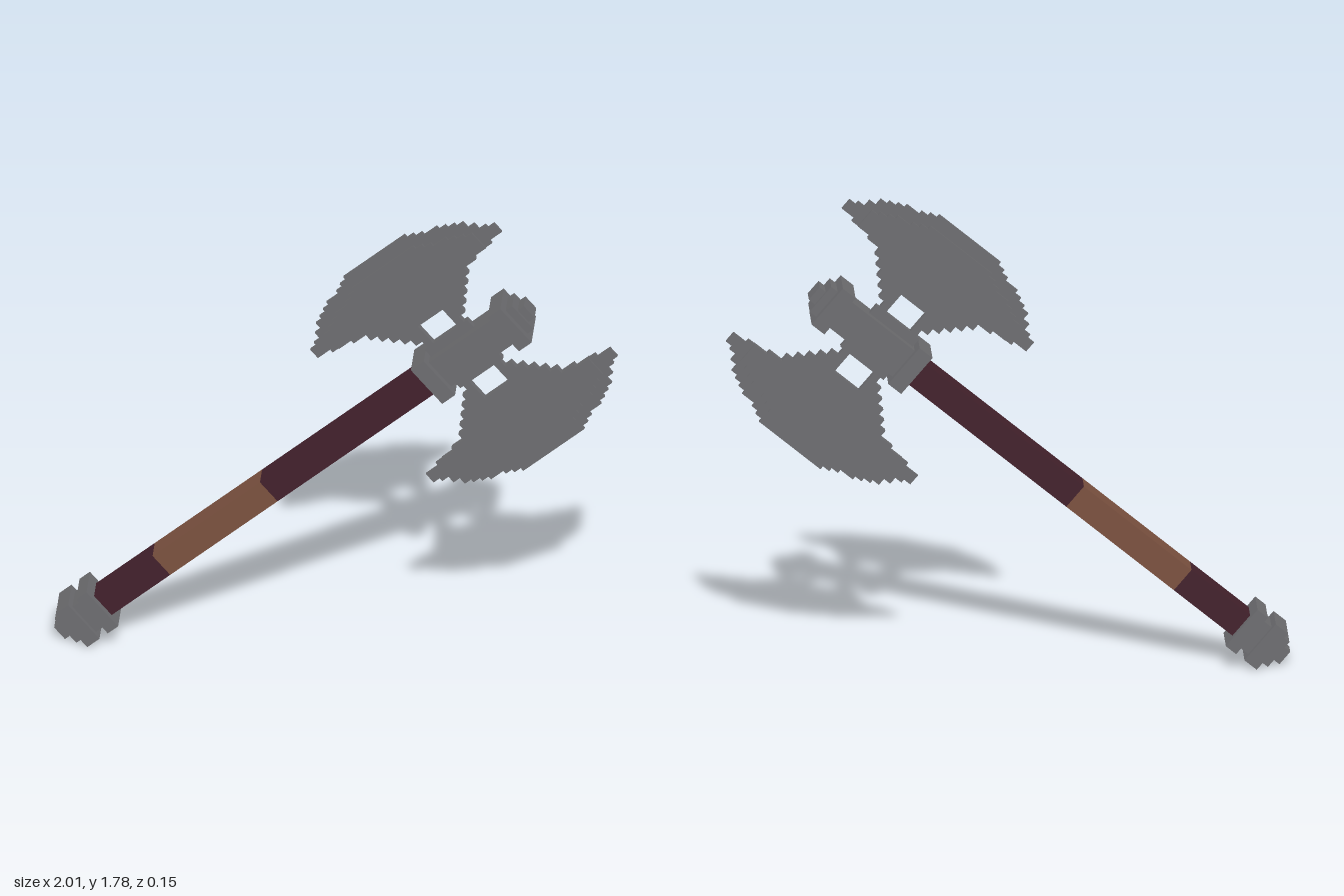
import * as THREE from 'three';

const steel = new THREE.MeshStandardMaterial({ color: 0x6e6e71 });
steel.name = 'steel';
const darkWood = new THREE.MeshStandardMaterial({ color: 0x43212c });
darkWood.name = 'darkWood';
const leather = new THREE.MeshStandardMaterial({ color: 0x7c5240 });
leather.name = 'leather';

const CELL = 0.0286; // width of one stair step
const HEAD = 1.152; // blade centre along the handle

// Linear interpolation through [distance, height] pairs
function sample(points, d) {
  for (let i = 1; i < points.length; i++) {
    const [d0, h0] = points[i - 1], [d1, h1] = points[i];
    if (d <= d1) return h0 + (h1 - h0) * (d - d0) / (d1 - d0);
  }
  return points[points.length - 1][1];
}

// Half outlines of the blade, measured from its centre line
const OUTER = [[0, 0.505], [0.13, 0.503], [0.206, 0.467], [0.27, 0.44], [0.335, 0.41], [0.43, 0.325]];
const INNER = [[0, 0.187], [0.06, 0.187], [0.0601, 0.05], [0.1, 0.05], [0.1001, 0.125],
  [0.145, 0.17], [0.17, 0.2], [0.22, 0.25], [0.25, 0.272], [0.3, 0.287], [0.43, 0.3]];

// Stepped, mirrored blade outline; trim pulls the cutting edge inward
function bladeShape(columns, trim) {
  const snap = (h) => Math.round(h / (CELL / 2)) * CELL / 2;
  const top = [], bottom = [];
  for (let i = -columns; i < columns; i++) {
    const d = Math.abs(i + 0.5) * CELL;
    const hi = snap(sample(OUTER, d)) - trim;
    const lo = Math.min(snap(sample(INNER, d)), hi - 0.02);
    const x0 = i * CELL, x1 = x0 + CELL;
    top.push(new THREE.Vector2(x0, hi), new THREE.Vector2(x1, hi));
    bottom.push(new THREE.Vector2(x0, lo), new THREE.Vector2(x1, lo));
  }
  return new THREE.Shape([...bottom, ...top.reverse()]);
}

function plate(name, shape, depth) {
  const geo = new THREE.ExtrudeGeometry(shape, { depth, bevelEnabled: false });
  geo.translate(HEAD, 0, -depth / 2);
  const mesh = new THREE.Mesh(geo, steel);
  mesh.name = name;
  return mesh;
}

// Box spanning u0..u1 along the handle axis
function block(name, u0, u1, halfV, halfZ, material = steel) {
  const mesh = new THREE.Mesh(new THREE.BoxGeometry(u1 - u0, halfV * 2, halfZ * 2), material);
  mesh.position.x = (u0 + u1) / 2;
  mesh.name = name;
  return mesh;
}

function blade(name) {
  const group = new THREE.Group();
  group.name = name;
  group.add(plate('cuttingEdge', bladeShape(15, 0), 0.012));
  group.add(plate('bladeBody', bladeShape(12, 0.05), 0.026));
  // Bridge between the struts, closing the opening next to the shaft
  const bridge = block('bladeBridge', HEAD - 0.1, HEAD + 0.1, 0.026, 0.013);
  bridge.position.y = 0.074;
  group.add(bridge);
  return group;
}

export function createModel() {
  const axe = new THREE.Group();
  axe.name = 'doubleAxe';

  // Handle
  axe.add(
    block('handleLower', -0.54, -0.255, 0.049, 0.046, darkWood),
    block('handleGrip', -0.255, 0.246, 0.049, 0.046, leather),
    block('handleUpper', 0.246, 1.0, 0.049, 0.046, darkWood),
  );

  // Pommel
  axe.add(
    block('pommelFlange', -0.576, -0.528, 0.088, 0.073),
    block('pommelNeck', -0.614, -0.576, 0.065, 0.055),
    block('pommelRing', -0.671, -0.614, 0.087, 0.073),
    block('pommelStep', -0.702, -0.671, 0.06, 0.047),
    block('pommelTip', -0.732, -0.702, 0.03, 0.03),
  );

  // Head core
  axe.add(
    block('headCollar', 0.985, 1.045, 0.087, 0.073),
    block('headShaft', 1.045, 1.343, 0.062, 0.047),
    block('headFlange', 1.343, 1.402, 0.087, 0.073),
    block('headStep', 1.402, 1.432, 0.06, 0.047),
    block('headTip', 1.432, 1.46, 0.03, 0.035),
  );

  // Two opposite blades
  const upper = blade('upperBlade');
  const lower = blade('lowerBlade');
  lower.rotation.x = Math.PI;
  axe.add(upper, lower);

  // Lean the axe and stand it on the ground
  const tilt = THREE.MathUtils.degToRad(40);
  axe.rotation.z = tilt;
  axe.position.set(-0.657 * Math.sin(tilt), 0.657 * Math.cos(tilt), 0);

  const model = new THREE.Group();
  model.name = 'model';
  model.add(axe);
  return model;
}
